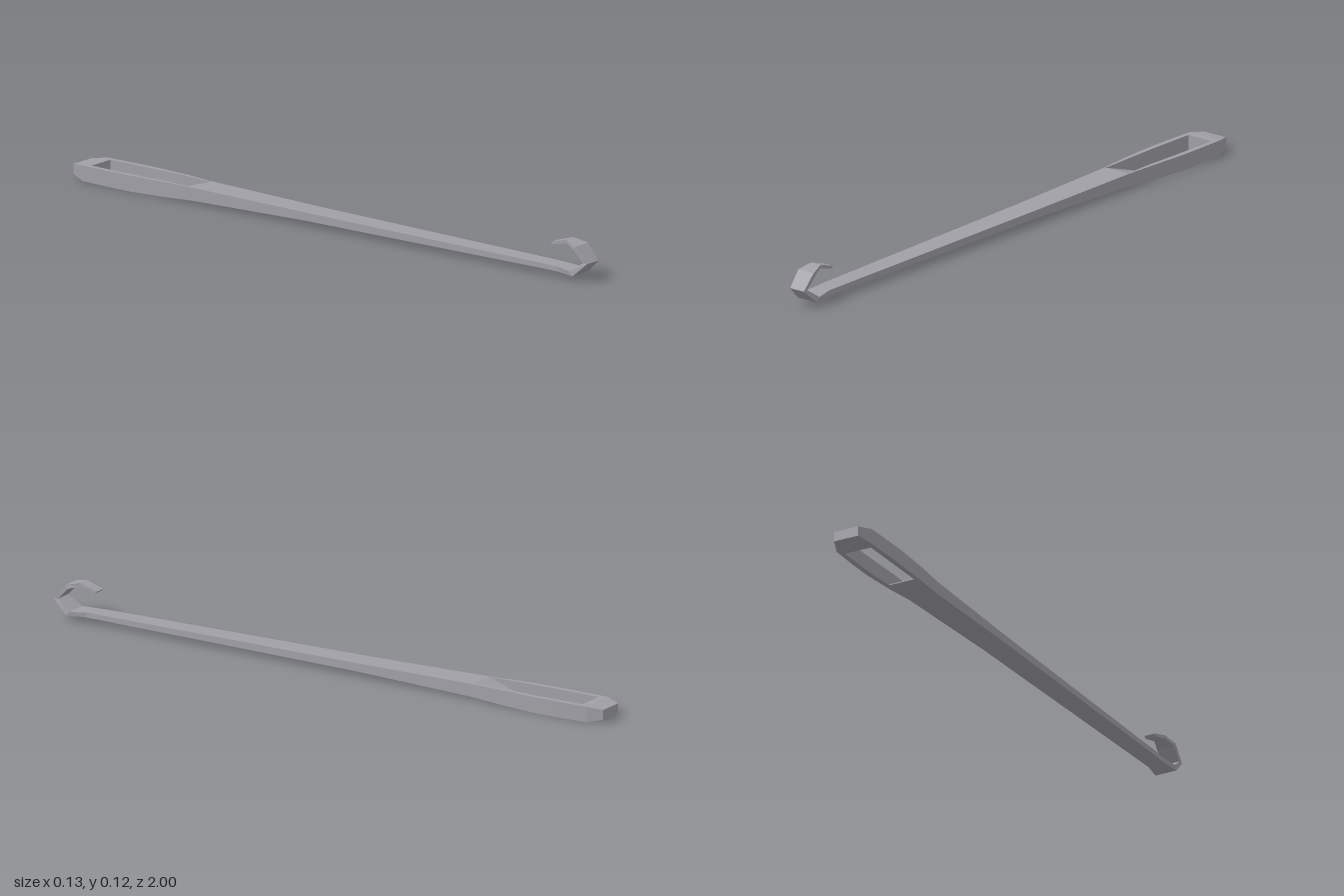
import * as THREE from 'three';

// Lofts rectangular sections ordered back to front.
// Section: [xMin, xMax, bottom z, bottom y, top z, top y]
function loft(sections) {
  const rings = sections.map(([x0, x1, zb, yb, zt, yt]) => [
    [x0, yb, zb], [x1, yb, zb], [x1, yt, zt], [x0, yt, zt],
  ]);
  const pos = [];
  const quad = (a, b, c, d) => pos.push(...a, ...b, ...c, ...a, ...c, ...d);
  for (let s = 0; s < rings.length - 1; s++) {
    for (let i = 0; i < 4; i++) {
      const j = (i + 1) % 4;
      quad(rings[s][i], rings[s][j], rings[s + 1][j], rings[s + 1][i]);
    }
  }
  const [a, b, c, d] = rings[0];
  quad(a, d, c, b);
  quad(...rings[rings.length - 1]);
  const geometry = new THREE.BufferGeometry();
  geometry.setAttribute('position', new THREE.Float32BufferAttribute(pos, 3));
  geometry.computeVertexNormals();
  return geometry;
}

// Symmetric section from a half width
const sym = (hw, zb, yb, zt, yt) => [-hw, hw, zb, yb, zt, yt];
// Upright section at one z
const flat = (x0, x1, z, yb, yt) => [x0, x1, z, yb, z, yt];

export function createModel() {
  const group = new THREE.Group();
  const steel = new THREE.MeshStandardMaterial({ color: 0xa09fa6, flatShading: true });
  steel.name = 'grey steel';
  const add = (name, sections) => {
    const mesh = new THREE.Mesh(loft(sections), steel);
    mesh.name = name;
    group.add(mesh);
  };

  // Tapered shaft running into the curled hook
  add('shaftAndHook', [
    sym(0.048, -0.53, 0.007, -0.53, 0.048),
    sym(0.041, -0.10, 0.016, -0.10, 0.042),
    sym(0.030, 0.84, 0.019, 0.84, 0.035),
    sym(0.028, 0.89, 0.018, 0.88, 0.034),
    sym(0.037, 0.95, 0.015, 0.937, 0.029),
    sym(0.027, 1.00, 0.060, 0.984, 0.061),
    sym(0.030, 0.957, 0.109, 0.948, 0.098),
    sym(0.019, 0.91, 0.121, 0.912, 0.110),
    sym(0.018, 0.85, 0.103, 0.857, 0.096),
  ]);

  // Ramp sloping down into the eye
  add('eyeRamp', [
    flat(-0.044, 0.044, -0.66, 0.003, 0.006),
    flat(-0.044, 0.044, -0.53, 0.007, 0.048),
  ]);

  // Side rails of the eye
  const rail = [
    [0.045, 0.061, -0.95, 0.001, 0.050],
    [0.046, 0.063, -0.85, 0.000, 0.050],
    [0.046, 0.063, -0.76, 0.000, 0.050],
    [0.043, 0.056, -0.63, 0.003, 0.050],
    [0.043, 0.048, -0.53, 0.007, 0.048],
  ];
  add('leftEyeRail', rail.map(([x0, x1, ...r]) => flat(x0, x1, ...r)));
  add('rightEyeRail', rail.map(([x0, x1, ...r]) => flat(-x1, -x0, ...r)));

  // Chamfered end closing the eye
  add('eyeEnd', [
    flat(-0.042, 0.042, -1.00, 0.012, 0.043),
    flat(-0.061, 0.061, -0.95, 0.001, 0.050),
    flat(-0.050, 0.050, -0.927, 0.001, 0.050),
  ]);
  return group;
}
